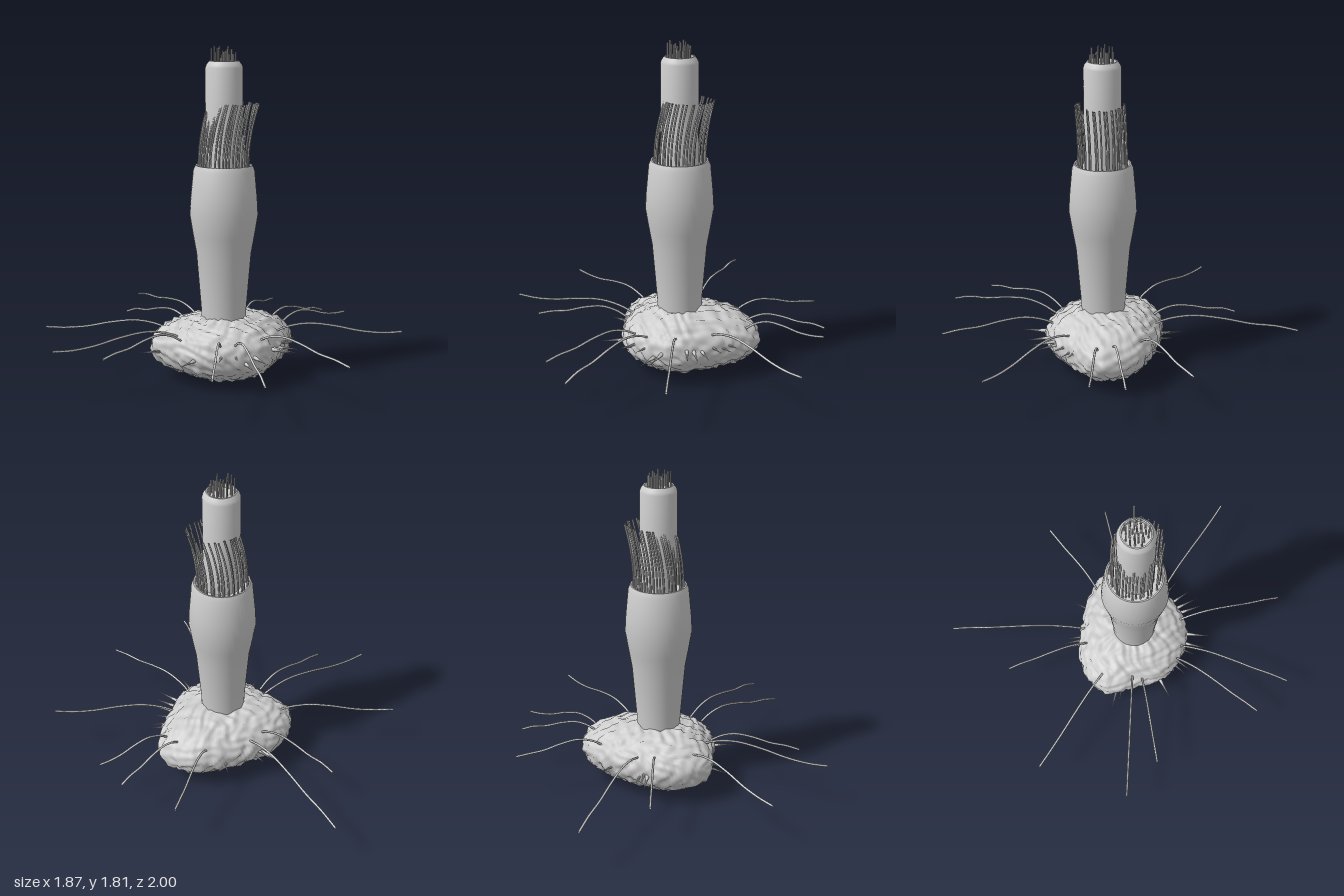
import * as THREE from 'three';
import { mergeVertices, toCreasedNormals } from 'three/addons/utils/BufferGeometryUtils.js';

const AX = 0.04, AZ = 0.06; // stalk axis
const V = (x, y, z) => new THREE.Vector3(x, y, z);

// Small seeded generator
function seeded(seed) {
  return () => {
    seed = (seed * 16807) % 2147483647;
    return seed / 2147483647;
  };
}

// Lumpy base: a sphere fitted to a rounded triangular outline
function baseGeometry() {
  const outline = new THREE.CatmullRomCurve3([
    [-0.345, -0.04], [-0.27, 0.14], [-0.2, 0.27], [-0.08, 0.35], [0.05, 0.375], [0.19, 0.345],
    [0.31, 0.22], [0.42, 0.09], [0.47, -0.05], [0.42, -0.15], [0.33, -0.22],
    [0.18, -0.255], [0.02, -0.255], [-0.15, -0.235], [-0.28, -0.16],
  ].map(([x, z]) => V(x, 0, z)), true);
  const geo = new THREE.SphereGeometry(1, 128, 72);
  const pos = geo.attributes.position, uv = geo.attributes.uv;
  for (let i = 0; i < pos.count; i++) {
    const sy = pos.getY(i), ring = Math.pow(Math.max(0, 1 - sy * sy), 0.46);
    const rim = outline.getPointAt((uv.getX(i) + 1) % 1); // u is slightly negative at a pole
    const p = V(0.05 + (rim.x - 0.05) * ring, 0.185 + 0.178 * sy, 0.05 + (rim.z - 0.05) * ring);
    // Overlapping waves make irregular bumps
    const a = p.x + 0.02 * Math.sin(23 * p.z + 31 * p.y), b = p.z + 0.02 * Math.sin(27 * p.x + 19 * p.y);
    const bump = 0.007 * Math.sin(61 * a + 20 * p.y) * Math.sin(57 * b - 25 * p.y)
      + 0.005 * Math.sin(95 * p.y + 40 * a) * Math.sin(70 * a - 66 * b)
      + 0.003 * Math.sin(120 * b + 90 * a);
    const out = V((p.x - 0.05) / 0.17, (p.y - 0.185) / 0.034, (p.z - 0.05) / 0.11).normalize();
    p.addScaledVector(out, bump);
    pos.setXYZ(i, p.x, Math.max(0, p.y), p.z);
  }
  geo.deleteAttribute('uv');
  geo.deleteAttribute('normal');
  const merged = mergeVertices(geo, 1e-5);
  merged.computeVertexNormals();
  return merged;
}

export function createModel() {
  const model = new THREE.Group();
  const grey = new THREE.MeshStandardMaterial({ color: 0xcccccc, side: THREE.DoubleSide });
  grey.name = 'pale grey';
  const rand = seeded(4711);

  function add(name, geometry, parent = model) {
    const mesh = new THREE.Mesh(geometry, grey);
    mesh.name = name;
    parent.add(mesh);
    return mesh;
  }
  function addGroup(name) {
    const group = new THREE.Group();
    group.name = name;
    model.add(group);
    return group;
  }
  const strand = (points, radius, steps) =>
    new THREE.TubeGeometry(new THREE.CatmullRomCurve3(points), steps, radius, 6);
  function lathe(name, profile) {
    const geo = new THREE.LatheGeometry(profile.map(([r, y]) => new THREE.Vector2(r, y)), 48);
    add(name, toCreasedNormals(geo, 0.5)).position.set(AX, 0, AZ);
  }

  add('base', baseGeometry());

  // Stalk and the inner tube rising out of it
  lathe('stalk', [[0.12, 0.3], [0.123, 0.4], [0.148, 0.7], [0.166, 0.8], [0.184, 0.91],
    [0.179, 1.0], [0.165, 1.15], [0.153, 1.178], [0.145, 1.178], [0.143, 1.155], [0, 1.155]]);
  lathe('innerTube', [[0.1, 1.15], [0.1, 1.695], [0.095, 1.71], [0.08, 1.73], [0.073, 1.73],
    [0.072, 1.71], [0, 1.71]]);

  // Ring of bent bristles, all leaning to the model's left
  const bristles = addGroup('bristles');
  for (let i = 0; i < 42; i++) {
    const t = (i + 0.7 * rand()) / 42 * Math.PI * 2, r = 0.115 + 0.022 * rand();
    const x = AX - 0.002 + r * Math.cos(t), z = AZ + r * Math.sin(t);
    const lean = 0.04 + 0.025 * rand();
    const points = [0, 0.35, 0.7, 1].map(k => V(x + lean * k * k, 1.15 + 0.355 * k, z));
    add('bristle', strand(points, 0.005, 8), bristles);
  }

  // Short straight bristles on the tip
  const tipBristles = addGroup('tipBristles');
  for (let i = 0; i < 26; i++) {
    const t = i * 2.4, r = 0.068 * Math.sqrt((i + 0.5) / 26);
    const h = 0.06 + 0.045 * rand();
    add('tipBristle', new THREE.CylinderGeometry(0.0045, 0.0045, h, 6), tipBristles)
      .position.set(AX + r * Math.cos(t), 1.705 + h / 2, AZ + r * Math.sin(t));
  }

  // Long wavy feelers: root x, z, then end x, y, z
  const feelers = addGroup('feelers');
  [
    [0, -0.22, -0.14, 0.245, -1], [-0.08, -0.18, -0.32, 0.24, -0.62],
    [-0.22, -0.055, -0.865, 0.27, -0.32], [-0.22, 0.1, -0.94, 0.275, 0.2],
    [-0.24, 0.16, -0.71, 0.25, 0.335], [-0.08, 0.34, -0.305, 0.25, 0.85],
    [0, 0.35, -0.09, 0.24, 0.995], [0.15, 0.3, 0.41, 0.25, 0.87],
    [0.28, 0.17, 0.93, 0.275, 0.44], [0.41, -0.01, 0.835, 0.27, -0.085],
    [0.36, -0.08, 0.77, 0.245, -0.255], [0.25, -0.2, 0.58, 0.26, -0.56],
  ].forEach(([x, z, ex, ey, ez]) => {
    const points = [[0, 0.26], [0.12, 0.295], [0.28, 0.315], [0.48, 0.303], [0.68, 0.277], [0.85, 0.268], [1, ey]]
      .map(([k, y]) => V(x + (ex - x) * k, y, z + (ez - z) * k));
    add('feeler', strand(points, 0.006, 28), feelers);
  });

  // Short spines around the base, given by their tips
  const spines = addGroup('spines');
  [
    [-0.42, 0.17, 0.015], [-0.37, 0.18, 0.05], [-0.13, 0.17, -0.37], [-0.09, 0.18, -0.34], [-0.05, 0.16, -0.33],
    [0.18, 0.17, -0.33], [0.45, 0.21, 0.15], [0.43, 0.2, 0.19], [0.4, 0.21, 0.25],
    [0.37, 0.2, 0.34], [0.33, 0.2, 0.39], [0.29, 0.21, 0.43], [0.115, 0.19, 0.51],
    [0.045, 0.16, 0.5], [-0.02, 0.2, 0.44], [-0.12, 0.2, 0.43], [-0.14, 0.18, 0.4], [-0.3, 0.17, 0.34],
  ].forEach(([x, y, z]) => {
    const dir = V(x - 0.07, 0, z - 0.05).normalize();
    const cone = add('spine', new THREE.ConeGeometry(0.013, 0.16, 7), spines);
    cone.quaternion.setFromUnitVectors(V(0, 1, 0), dir);
    cone.position.set(x, y, z).addScaledVector(dir, -0.08);
  });

  return model;
}
